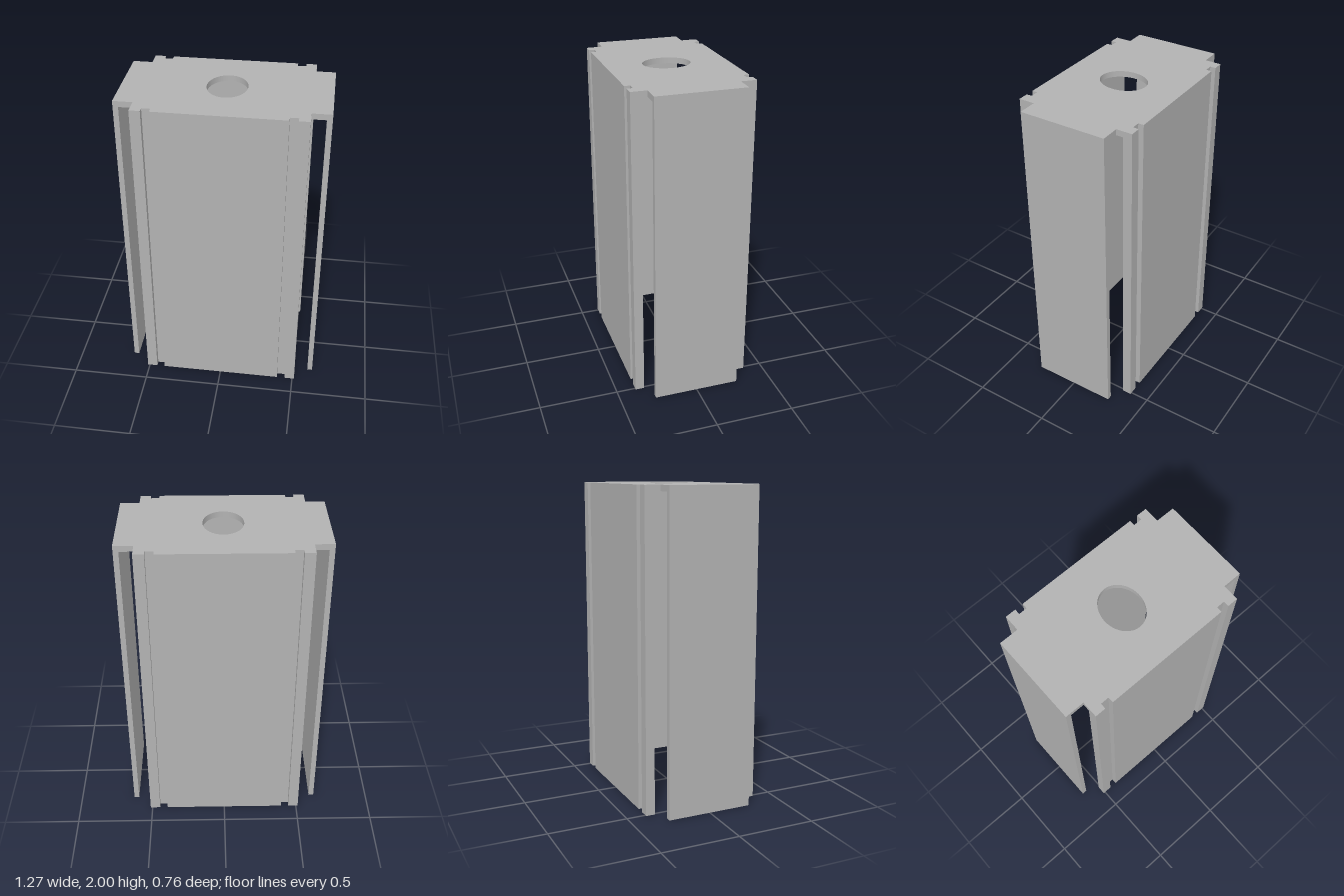
import * as THREE from 'three';

const HEIGHT = 2, PLATE = 0.037;
const LEG = HEIGHT - PLATE;          // walls hang below the top plate
const PANEL_X = 0.513, PANEL_OUT = 0.378, PANEL_IN = 0.32;
const SIDE_X = 0.633, SIDE_IN = 0.6, SIDE_Z = 0.277;
const GROOVE_IN = 0.395, GROOVE_OUT = 0.447, GROOVE_Z = 0.343;

// Outer edge of a grooved panel, running from +x to -x
const panelEdge = [
  [PANEL_X, PANEL_OUT], [GROOVE_OUT, PANEL_OUT], [GROOVE_OUT, GROOVE_Z],
  [GROOVE_IN, GROOVE_Z], [GROOVE_IN, PANEL_OUT],
  [-GROOVE_IN, PANEL_OUT], [-GROOVE_IN, GROOVE_Z], [-GROOVE_OUT, GROOVE_Z],
  [-GROOVE_OUT, PANEL_OUT], [-PANEL_X, PANEL_OUT],
];

function shapeFrom(points) {
  return new THREE.Shape(points.map(([x, y]) => new THREE.Vector2(x, y)));
}

// Extrude a plan outline upward from the given height
function upright(shape, depth, y) {
  const geometry = new THREE.ExtrudeGeometry(shape, { depth, bevelEnabled: false, curveSegments: 48 });
  return geometry.rotateX(-Math.PI / 2).translate(0, y, 0);
}

export function createModel() {
  const model = new THREE.Group();
  model.name = 'columnCover';
  const grey = new THREE.MeshStandardMaterial({ color: 0xb2b2b2 });
  grey.name = 'grey';

  const add = (name, geometry) => {
    const mesh = new THREE.Mesh(geometry, grey);
    mesh.name = name;
    model.add(mesh);
    return mesh;
  };

  // Top plate with notched corners, grooves and an oval hole
  const half = [[SIDE_X, SIDE_Z], [PANEL_X, SIDE_Z], ...panelEdge, [-PANEL_X, SIDE_Z], [-SIDE_X, SIDE_Z]];
  const plate = shapeFrom([...half, ...half.map(([x, y]) => [-x, -y])]);
  const hole = new THREE.Path();
  hole.absellipse(0, 0, 0.124, 0.15, 0, Math.PI * 2, true);
  plate.holes.push(hole);
  add('topPlate', upright(plate, PLATE, LEG));

  // Grooved front and back panels
  const panel = upright(shapeFrom([[-PANEL_X, PANEL_IN], [PANEL_X, PANEL_IN], ...panelEdge]), LEG, 0);
  add('backPanel', panel);
  add('frontPanel', panel).rotation.y = Math.PI;

  // Plain side walls
  const wall = new THREE.BoxGeometry(SIDE_X - SIDE_IN, LEG, SIDE_Z * 2);
  for (const [name, side] of [['leftWall', 1], ['rightWall', -1]]) {
    add(name, wall).position.set(side * (SIDE_X + SIDE_IN) / 2, LEG / 2, 0);
  }
  return model;
}
